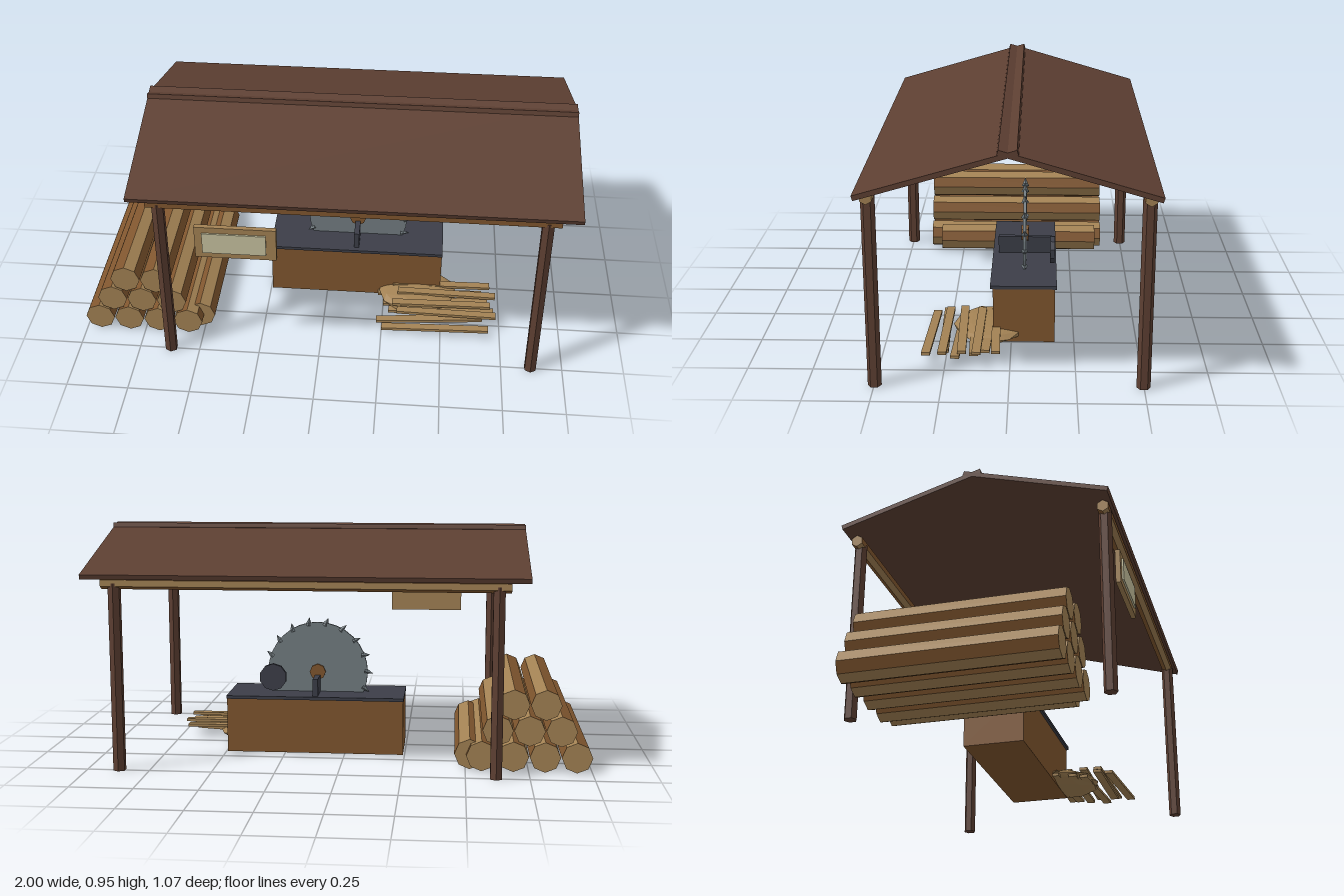
import * as THREE from 'three';

const mat = (name, color) => {
  const m = new THREE.MeshStandardMaterial({ color });
  m.name = name;
  return m;
};

// Hard facets on any geometry
function flat(geo) {
  const g = geo.index ? geo.toNonIndexed() : geo;
  g.computeVertexNormals();
  return g;
}

export function createModel() {
  const darkWood = mat('dark wood', 0x5d3f32);
  const bark = mat('brown wood', 0x80562e);
  const tan = mat('cut wood', 0xa38254);
  const steel = mat('steel', 0x737d82);
  const slate = mat('dark iron', 0x3c3e48);
  const cream = mat('sign board', 0xc8c3a0);

  const model = new THREE.Group();
  model.name = 'sawmill';

  function add(name, geo, material, x, y, z, parent = model) {
    const mesh = new THREE.Mesh(geo, material);
    mesh.name = name;
    mesh.position.set(x, y, z);
    parent.add(mesh);
    return mesh;
  }
  const box = (name, w, h, d, material, x, y, z, parent) =>
    add(name, new THREE.BoxGeometry(w, h, d), material, x, y, z, parent);
  function group(name) {
    const g = new THREE.Group();
    g.name = name;
    model.add(g);
    return g;
  }

  // Log whose side facets alternate between two wood tones
  function logGeometry(radius, length, sides) {
    const g = new THREE.CylinderGeometry(radius, radius, length, sides);
    g.clearGroups();
    for (let i = 0; i < sides; i++) g.addGroup(i * 6, 6, i % 2);
    g.addGroup(sides * 6, sides * 6, 1);
    return flat(g);
  }
  const logMaterials = [bark, tan];

  // Posts and eave beams
  const frame = group('frame');
  const postGeo = flat(new THREE.CylinderGeometry(0.026, 0.026, 0.75, 6));
  const beamGeo = logGeometry(0.025, 1.585, 6).rotateY(-Math.PI / 6).rotateZ(Math.PI / 2);
  for (const z of [-0.498, 0.498]) {
    for (const x of [-0.618, 0.87]) add('post', postGeo, darkWood, x, 0.375, z, frame);
    add('eaveBeam', beamGeo, logMaterials, 0.128, 0.75, z, frame);
  }

  // Two roof slabs crossing at the ridge
  const roof = group('roof');
  for (const s of [-1, 1]) {
    const slab = box('roofSlab', 1.735, 0.019, 0.592, darkWood, 0.13, 0.858, s * 0.249, roof);
    slab.rotation.x = s * 0.285;
  }

  // Stacked logs
  const pile = group('logPile');
  const logGeo = logGeometry(0.061, 0.797, 8).rotateX(Math.PI / 2);
  [4, 3, 2].forEach((count, row) => {
    for (let i = 0; i < count; i++) {
      add('log', logGeo, logMaterials, -0.939 + row * 0.0625 + i * 0.125, 0.062 + row * 0.105, 0, pile);
    }
  });
  add('looseLog', logGeometry(0.061, 0.72, 8).rotateX(Math.PI / 2), logMaterials, -0.517, 0.062, -0.01, pile);

  // Hanging sign
  const sign = group('sign');
  box('signFrame', 0.32, 0.143, 0.02, tan, -0.32, 0.587, 0.515, sign);
  box('signBoard', 0.25, 0.092, 0.008, cream, -0.325, 0.587, 0.528, sign);

  // Saw bench
  const bench = group('sawBench');
  box('benchBody', 0.738, 0.227, 0.246, bark, 0.126, 0.1135, -0.05, bench);
  box('benchTop', 0.742, 0.013, 0.264, slate, 0.126, 0.2335, -0.048, bench);
  box('axleBlock', 0.022, 0.073, 0.222, slate, 0.125, 0.275, -0.05, bench);
  const wheel = new THREE.CylinderGeometry(0.057, 0.057, 0.018, 10).rotateX(Math.PI / 2);
  add('driveWheel', flat(wheel), slate, 0.3, 0.32, -0.163, bench);

  // Toothed blade
  const blade = group('sawBlade');
  blade.position.set(0.125, 0.325, -0.05);
  const disc = new THREE.CylinderGeometry(0.212, 0.212, 0.012, 32).rotateX(Math.PI / 2);
  add('bladeDisc', flat(disc), steel, 0, 0, 0, blade);
  const hub = new THREE.CylinderGeometry(0.034, 0.034, 0.03, 8).rotateX(Math.PI / 2);
  add('bladeHub', flat(hub), bark, 0, 0, 0, blade);
  const toothGeo = flat(new THREE.ConeGeometry(0.015, 0.036, 4));
  const teeth = 18;
  for (let i = 0; i < teeth; i++) {
    const a = (i / teeth) * Math.PI * 2;
    const tooth = add('tooth', toothGeo, steel, Math.cos(a) * 0.217, Math.sin(a) * 0.217, 0, blade);
    tooth.rotation.z = a - Math.PI / 2 + 0.3;
  }

  // Sawdust heap and cut planks beside the bench
  const scraps = group('cutPlanks');
  const heap = flat(new THREE.IcosahedronGeometry(1, 1)).scale(0.17, 0.032, 0.15);
  add('sawdust', heap, tan, 0.4, 0.032, 0.085, scraps);
  for (let i = 0; i < 5; i++) {
    const lower = box('lowerPlank', 0.45, 0.012, 0.034, tan,
      0.45 + (i % 3) * 0.025, 0.03, 0.09 + i * 0.057, scraps);
    lower.rotation.z = 0.055;
    lower.rotation.y = (i % 2 ? 1 : -1) * 0.03;
  }
  for (let i = 0; i < 4; i++) {
    const upper = box('upperPlank', 0.42, 0.012, 0.034, tan,
      0.5 + (i % 2) * 0.022, 0.056 + (i % 2) * 0.006, 0.06 + i * 0.065, scraps);
    upper.rotation.y = (i % 2 ? -1 : 1) * 0.02;
  }

  return model;
}
